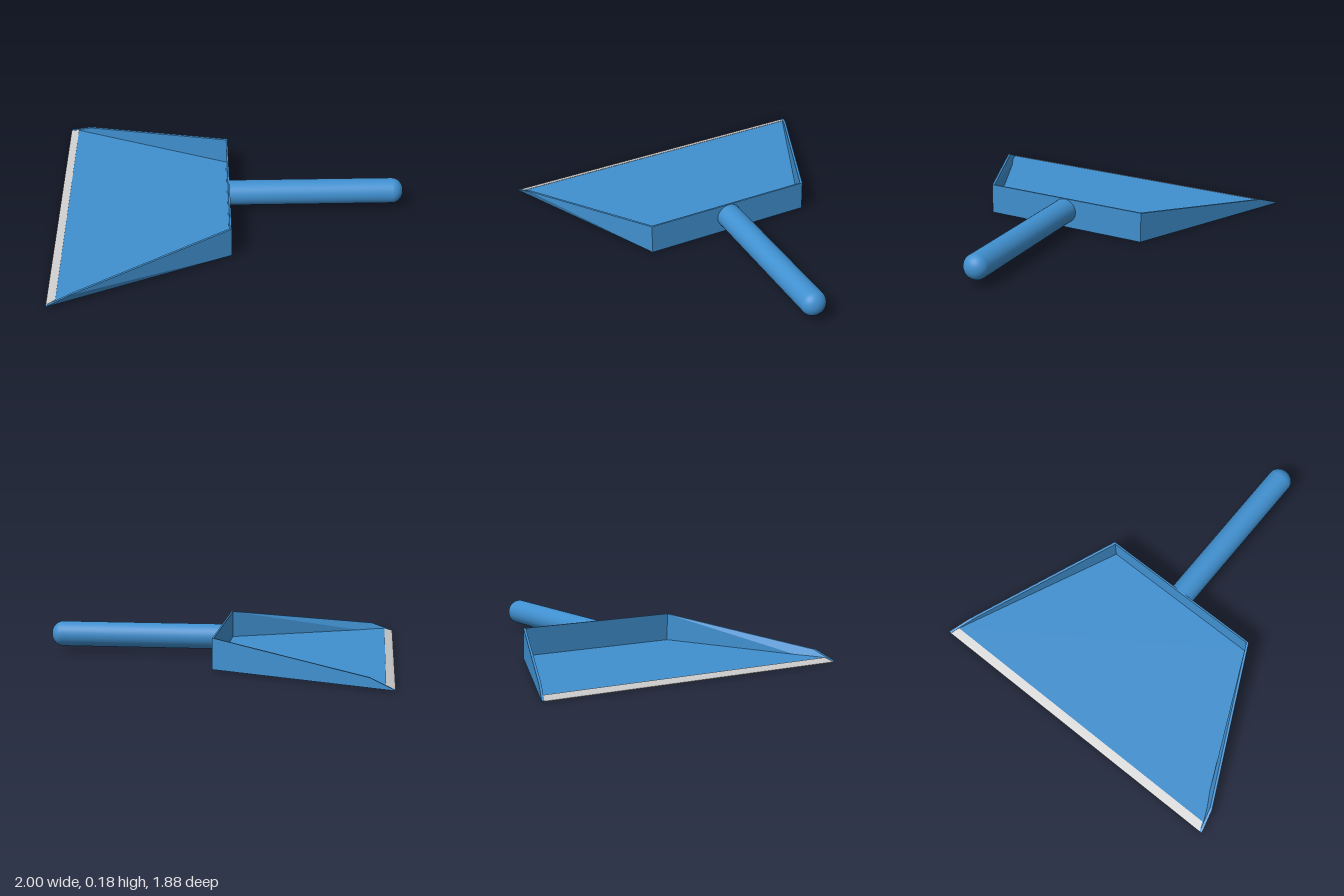
import * as THREE from 'three';

const BLUE = 0x4090d0;
const BACK = -0.01;                       // x of the rear of the pan
const outerZ = x => 0.94 - (x + 1) * 0.451; // half width of the pan at x

function material(color, flatShading = false) {
  const m = new THREE.MeshStandardMaterial({ flatShading });
  m.color.set(color);
  return m;
}

// Solid lofted through four-cornered sections; flip reverses the winding.
function loft(sections, flip = false) {
  const pos = [];
  const quad = (a, b, c, d) => {
    const order = flip ? [a, c, b, a, d, c] : [a, b, c, a, c, d];
    order.forEach(p => pos.push(...p));
  };
  for (let s = 0; s < sections.length - 1; s++) {
    const p = sections[s], q = sections[s + 1];
    for (let i = 0; i < 4; i++) {
      const j = (i + 1) % 4;
      quad(p[i], p[j], q[j], q[i]);
    }
  }
  const first = sections[0], last = sections[sections.length - 1];
  quad(first[3], first[2], first[1], first[0]);
  quad(last[0], last[1], last[2], last[3]);
  const g = new THREE.BufferGeometry();
  g.setAttribute('position', new THREE.Float32BufferAttribute(pos, 3));
  g.computeVertexNormals();
  return g;
}

// Section across the pan at x: bottom and top height, half width w.
const crossSection = (x, y0, y1, w) =>
  [[x, y0, w], [x, y0, -w], [x, y1, -w], [x, y1, w]];

export function createModel() {
  const group = new THREE.Group();
  const add = (name, geometry, mat) => {
    const mesh = new THREE.Mesh(geometry, mat);
    mesh.name = name;
    group.add(mesh);
    return mesh;
  };
  const blueFlat = material(BLUE, true);
  const blueSmooth = material(BLUE);

  // Tapered floor plate
  add('floor', loft([
    crossSection(-0.995, 0.003, 0.004, outerZ(-0.995) - 0.005),
    crossSection(-0.95, 0.003, 0.02, outerZ(-0.95) - 0.005),
    crossSection(BACK, 0.003, 0.02, outerZ(BACK) - 0.005),
  ]), blueFlat);

  // Thin sweeping lip along the open edge
  add('lip', loft([
    crossSection(-1, 0, 0.003, 0.925),
    crossSection(-0.99, 0, 0.008, 0.92),
    crossSection(-0.95, 0.012, 0.022, outerZ(-0.95) - 0.015),
  ]), material(0xcccccc, true));

  // Side walls: [x, top height, outward lean]; only the front one flares
  for (const side of [1, -1]) {
    const flare = side > 0 ? 0.028 : 0;
    const stations = [[-1, 0.005, 0], [-0.87, 0.056, flare], [BACK, 0.178, 0]];
    const sections = stations.map(([x, top, lean]) => {
      const w = outerZ(x), t = 0.015;
      return [
        [x, 0.003, side * w],
        [x, 0.003, side * (w - t)],
        [x, top, side * (w - t + lean)],
        [x, top, side * (w + lean)],
      ];
    });
    add(side > 0 ? 'frontSideWall' : 'backSideWall', loft(sections, side < 0), blueFlat);
  }

  // Rear wall carrying the handle
  const rear = add('rearWall', new THREE.BoxGeometry(0.01, 0.175, 2 * outerZ(BACK)), blueFlat);
  rear.position.set(BACK - 0.005, 0.0905, 0);

  // Round handle with a domed end
  const handle = new THREE.Group();
  handle.name = 'handle';
  handle.position.y = 0.103;
  const r = 0.073, domeStart = 0.935;
  const shaft = new THREE.Mesh(
    new THREE.CylinderGeometry(r, r, domeStart - BACK, 32), blueSmooth);
  shaft.name = 'handleShaft';
  shaft.rotation.z = -Math.PI / 2;
  shaft.position.x = (domeStart + BACK) / 2;
  const dome = new THREE.Mesh(
    new THREE.SphereGeometry(r, 32, 12, 0, Math.PI * 2, 0, Math.PI / 2), blueSmooth);
  dome.name = 'handleEnd';
  dome.rotation.z = -Math.PI / 2;
  dome.scale.y = (1 - domeStart) / r;
  dome.position.x = domeStart;
  handle.add(shaft, dome);
  group.add(handle);

  return group;
}
